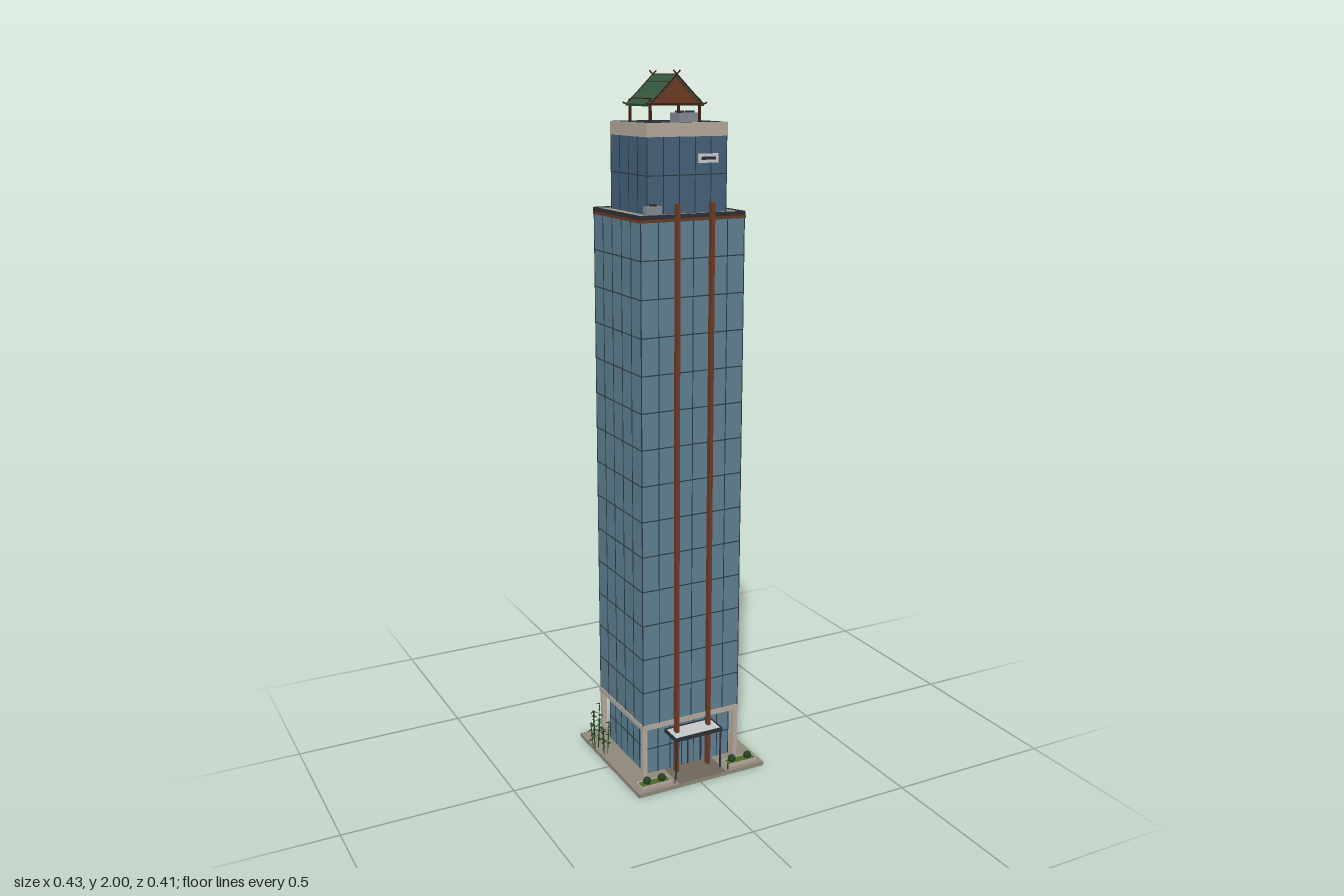
import * as THREE from 'three';

const C = {
  glass: 0x5f8092, upperGlass: 0x46627a, line: 0x2b3a45, beige: 0xb5aa9c, deck: 0x99958e,
  brown: 0x6e3a22, darkWood: 0x3d2015, green: 0x35573f, stone: 0x8f877a, path: 0x6f665b,
  metal: 0x858a92, dark: 0x2c3036, grass: 0x4a6b2a, leaf: 0x24401f, pale: 0xc4c8ca, white: 0xdedede,
};
const mats = {};
const mat = (c) => (mats[c] ??= new THREE.MeshStandardMaterial({ color: c, flatShading: true, side: THREE.DoubleSide }));

function add(parent, name, geo, color, x = 0, y = 0, z = 0) {
  const m = new THREE.Mesh(geo, mat(color));
  m.name = name;
  m.position.set(x, y, z);
  parent.add(m);
  return m;
}
// Box given by its extents
function box(parent, name, color, x0, x1, y0, y1, z0, z1) {
  return add(parent, name, new THREE.BoxGeometry(x1 - x0, y1 - y0, z1 - z0), color,
    (x0 + x1) / 2, (y0 + y1) / 2, (z0 + z1) / 2);
}
// Straight bar between two points
function bar(parent, name, color, a, b, r, sides = 5) {
  const p = new THREE.Vector3(...a), q = new THREE.Vector3(...b), d = q.clone().sub(p);
  const m = add(parent, name, new THREE.CylinderGeometry(r, r, d.length(), sides), color);
  m.position.copy(p).add(q).multiplyScalar(0.5);
  m.quaternion.setFromUnitVectors(new THREE.Vector3(0, 1, 0), d.normalize());
  return m;
}
function group(parent, name) {
  const g = new THREE.Group();
  g.name = name;
  parent.add(g);
  return g;
}
// Four walls around a rectangle
function rim(parent, name, color, x0, x1, y0, y1, z0, z1, t) {
  box(parent, name, color, x0, x1, y0, y1, z1 - t, z1);
  box(parent, name, color, x0, x1, y0, y1, z0, z0 + t);
  box(parent, name, color, x0, x0 + t, y0, y1, z0 + t, z1 - t);
  box(parent, name, color, x1 - t, x1, y0, y1, z0 + t, z1 - t);
}
// Glass block with a grid of mullions and floor lines
function curtainWall(parent, name, color, x0, x1, y0, y1, z0, z1, nx, nz, ny) {
  const g = group(parent, name), e = 0.0012, w = 0.0011;
  box(g, 'glass', color, x0, x1, y0, y1, z0, z1);
  for (let i = 0; i <= nx; i++) {
    const x = x0 + ((x1 - x0) * i) / nx;
    for (const z of [z0, z1]) box(g, 'mullion', C.line, x - w, x + w, y0, y1, z - e, z + e);
  }
  for (let i = 1; i < nz; i++) {
    const z = z0 + ((z1 - z0) * i) / nz;
    for (const x of [x0, x1]) box(g, 'mullion', C.line, x - e, x + e, y0, y1, z - w, z + w);
  }
  for (let i = 1; i < ny; i++) {
    const y = y0 + ((y1 - y0) * i) / ny;
    box(g, 'floorLine', C.line, x0 - e, x1 + e, y - 0.0014, y + 0.0014, z0 - e, z1 + e);
  }
}
// Cooling unit with round fans on top
function coolingUnit(parent, x0, x1, y0, y1, z0, z1, fans, r) {
  const g = group(parent, 'coolingUnit');
  box(g, 'casing', C.metal, x0, x1, y0, y1, z0, z1);
  for (const x of fans) add(g, 'fan', new THREE.CylinderGeometry(r, r, 0.006, 16), C.dark, x, y1 + 0.002, (z0 + z1) / 2);
}

function pavilion(root) {
  const g = group(root, 'roofPavilion');
  g.position.set(-0.018, 0, 0.012);
  // Gabled roof, slightly flared at the eaves
  const outer = [[-0.083, 1.913], [-0.045, 1.943], [0, 1.988], [0.045, 1.943], [0.083, 1.913]];
  const inner = outer.map(([x, y]) => [x * 0.98, y - 0.006]).reverse();
  const roof = new THREE.Shape([...outer, ...inner].map(([x, y]) => new THREE.Vector2(x, y)));
  add(g, 'roof', new THREE.ExtrudeGeometry(roof, { depth: 0.136, bevelEnabled: false }), C.green, 0, 0, -0.068);
  const gable = new THREE.Shape(outer.map(([x, y]) => new THREE.Vector2(x * 0.94, y - 0.004)));
  for (const s of [-1, 1]) {
    add(g, 'gable', new THREE.ExtrudeGeometry(gable, { depth: 0.003, bevelEnabled: false }), C.brown, 0, 0, s * 0.06 - 0.0015);
    for (const k of [-1, 1]) {
      // Bargeboards cross at the ridge to form finials
      const pts = [[0.09, 1.916], [0.08, 1.912], [0.045, 1.944], [0, 1.988], [-0.01, 1.998]];
      for (let i = 0; i < 4; i++) {
        bar(g, 'bargeboard', C.darkWood, [k * pts[i][0], pts[i][1], s * 0.069], [k * pts[i + 1][0], pts[i + 1][1], s * 0.069], 0.0022);
      }
      box(g, 'post', C.darkWood, k * 0.073 - 0.003, k * 0.073 + 0.003, 1.85, 1.925, s * 0.06 - 0.003, s * 0.06 + 0.003);
    }
    box(g, 'tieBeam', C.darkWood, -0.078, 0.078, 1.909, 1.915, s * 0.06 - 0.003, s * 0.06 + 0.003);
    box(g, 'eaveBeam', C.darkWood, s * 0.073 - 0.003, s * 0.073 + 0.003, 1.909, 1.916, -0.06, 0.06);
    bar(g, 'roofBatten', C.darkWood, [s * 0.068, 1.927, -0.058], [s * 0.068, 1.927, 0.058], 0.0014);
    bar(g, 'roofBatten', C.darkWood, [s * 0.02, 1.969, -0.066], [s * 0.02, 1.969, 0.066], 0.0008);
  }
  bar(g, 'ridge', C.darkWood, [0, 1.988, -0.069], [0, 1.988, 0.069], 0.002);
}

function bamboo(root, x, z, height, stems) {
  const g = group(root, 'bamboo');
  for (let i = 0; i < stems; i++) {
    const a = i * 2.4, bx = x + Math.cos(a) * 0.008, bz = z + Math.sin(a) * 0.01;
    const h = height * (1 - 0.1 * i), tx = bx + Math.cos(a) * 0.006, tz = bz + Math.sin(a) * 0.008;
    bar(g, 'stem', C.leaf, [bx, 0.01, bz], [tx, h, tz], 0.0012);
    for (let j = 0; j < 6; j++) {
      const leaf = add(g, 'leaf', new THREE.ConeGeometry(0.003, 0.018, 4), C.leaf);
      const b = a + j * 2.1, t = 0.4 + j * 0.12;
      leaf.position.set(bx + (tx - bx) * t + Math.cos(b) * 0.007, h * t, bz + (tz - bz) * t + Math.sin(b) * 0.008);
      leaf.quaternion.setFromUnitVectors(new THREE.Vector3(0, 1, 0), new THREE.Vector3(Math.cos(b), -0.4, Math.sin(b)).normalize());
    }
  }
}

export function createModel() {
  const root = new THREE.Group();
  root.name = 'tower';

  // Ground slab and entrance path
  box(root, 'plaza', C.stone, -0.199, 0.213, 0, 0.012, -0.208, 0.204);
  box(root, 'path', C.path, -0.069, 0.085, 0.012, 0.0135, 0.11, 0.203);

  // Recessed ground floor with columns
  curtainWall(root, 'lobby', C.glass, -0.13, 0.145, 0.012, 0.168, -0.135, 0.108, 7, 6, 2);
  for (const x of [-0.142, 0.158]) {
    for (const z of [-0.157, 0.122]) box(root, 'column', C.beige, x - 0.007, x + 0.007, 0.012, 0.168, z - 0.007, z + 0.007);
  }
  box(root, 'lobbyBand', C.beige, -0.151, 0.167, 0.163, 0.178, -0.166, 0.131);
  for (const x of [-0.035, 0.008, 0.051]) box(root, 'doorFrame', C.dark, x - 0.002, x + 0.002, 0.012, 0.11, 0.107, 0.111);
  box(root, 'doorHead', C.dark, -0.037, 0.053, 0.108, 0.112, 0.107, 0.111);

  // Main shaft with cornice and deck
  curtainWall(root, 'mainTower', C.glass, -0.148, 0.164, 0.178, 1.618, -0.163, 0.128, 6, 5, 14);
  box(root, 'cornice', C.brown, -0.151, 0.167, 1.614, 1.622, -0.166, 0.131);
  box(root, 'lowerDeck', C.deck, -0.148, 0.164, 1.62, 1.63, -0.163, 0.128);
  rim(root, 'lowerCoping', C.dark, -0.15, 0.166, 1.621, 1.633, -0.165, 0.13, 0.003);

  // Upper block with parapet
  curtainWall(root, 'upperTower', C.upperGlass, -0.111, 0.127, 1.63, 1.832, -0.127, 0.092, 5, 4, 2);
  box(root, 'upperDeck', C.deck, -0.11, 0.126, 1.83, 1.855, -0.126, 0.091);
  rim(root, 'parapet', C.beige, -0.113, 0.129, 1.83, 1.866, -0.129, 0.094, 0.006);
  rim(root, 'parapetLine', C.line, -0.107, 0.123, 1.855, 1.8665, -0.123, 0.088, 0.0012);
  box(root, 'signPlate', C.white, 0.04, 0.1, 1.761, 1.785, 0.092, 0.097);
  box(root, 'signPanel', C.dark, 0.048, 0.092, 1.769, 1.777, 0.097, 0.098);

  // Tall timber fins on the front
  for (const x of [-0.044, 0.06]) box(root, 'fin', C.brown, x - 0.005, x + 0.005, 0.012, 1.66, 0.128, 0.144);

  // Entrance canopy
  const canopy = group(root, 'canopy');
  box(canopy, 'canopyRoof', C.pale, -0.066, 0.082, 0.134, 0.14, 0.108, 0.176);
  rim(canopy, 'canopyEdge', C.dark, -0.069, 0.085, 0.132, 0.143, 0.108, 0.179, 0.003);
  for (const x of [-0.065, 0.081]) box(canopy, 'canopyPost', C.dark, x - 0.002, x + 0.002, 0.012, 0.133, 0.173, 0.177);

  // Rooftop machinery and pavilion
  coolingUnit(root, 0.05, 0.111, 1.855, 1.887, -0.086, -0.032, [0.065, 0.096], 0.013);
  coolingUnit(root, -0.124, -0.078, 1.63, 1.654, 0.094, 0.114, [-0.101], 0.01);
  pavilion(root);

  // Planters with shrubs
  for (const [x0, x1, shrubs] of [[-0.183, -0.087, [-0.157, -0.111]], [0.101, 0.199, [0.124, 0.176]]]) {
    const g = group(root, 'planter');
    rim(g, 'planterWall', C.beige, x0, x1, 0.012, 0.022, 0.154, 0.189, 0.003);
    box(g, 'lawn', C.grass, x0 + 0.003, x1 - 0.003, 0.012, 0.02, 0.157, 0.186);
    shrubs.forEach((x, i) => add(g, 'shrub', new THREE.IcosahedronGeometry(0.012, 1), C.leaf, x, 0.028, 0.169 + i * 0.003));
  }

  // Bamboo, path lights and a small post
  bamboo(root, -0.193, -0.107, 0.15, 5);
  bamboo(root, -0.186, -0.055, 0.11, 3);
  for (const x of [-0.08, 0.096]) bar(root, 'pathLight', C.dark, [x, 0.012, 0.195], [x, 0.03, 0.195], 0.002, 8);
  bar(root, 'smallPost', C.brown, [0.189, 0.012, -0.08], [0.189, 0.024, -0.08], 0.004, 8);
  return root;
}
